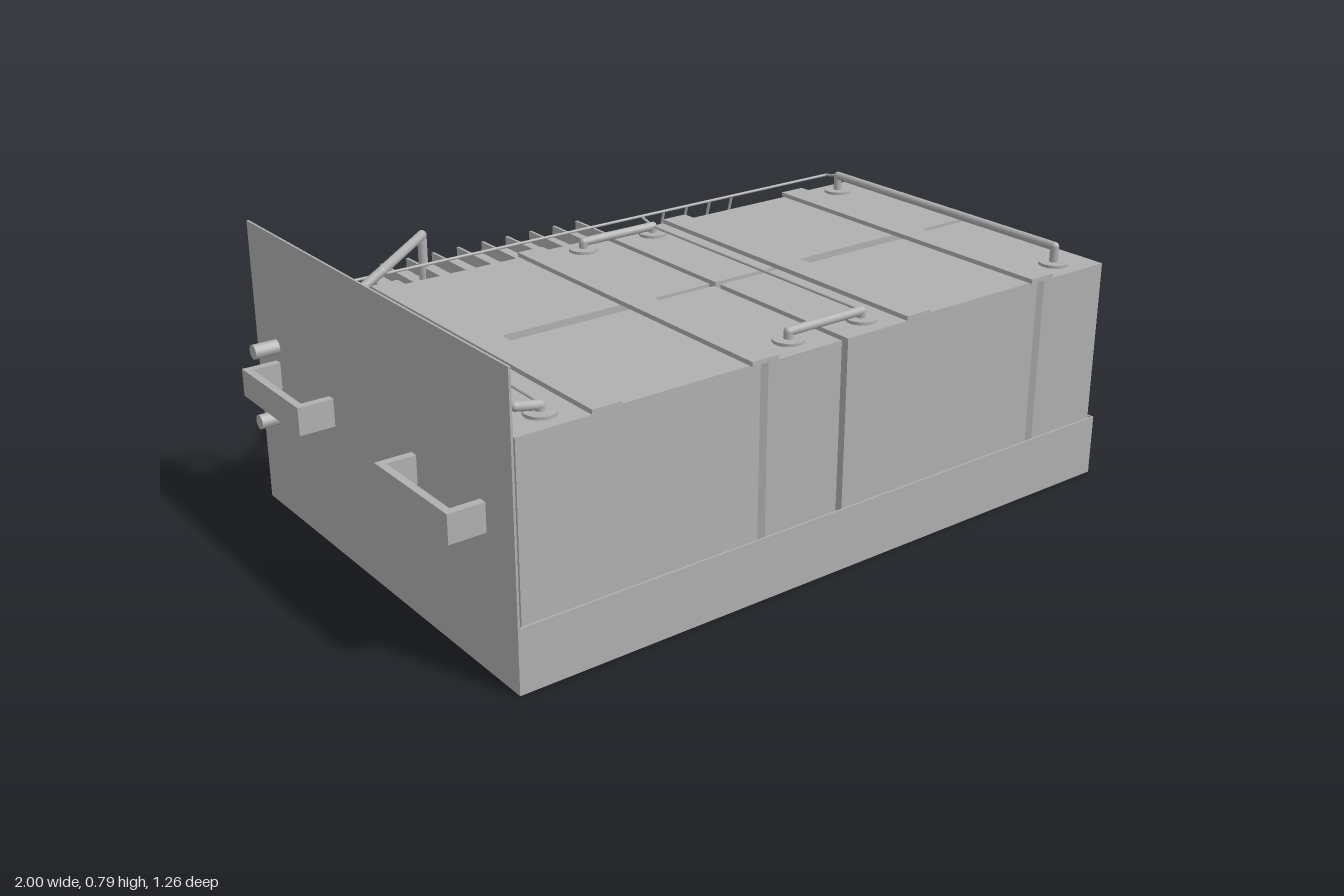
import * as THREE from 'three';

export function createModel() {
  const model = new THREE.Group();
  const metal = new THREE.MeshStandardMaterial({ color: 0xb0b0b0 });
  metal.name = 'grey metal';

  const add = (name, geometry) => {
    const mesh = new THREE.Mesh(geometry, metal);
    mesh.name = name;
    model.add(mesh);
    return mesh;
  };
  // Box given by its lower and upper limits on each axis
  const box = (name, x0, x1, y0, y1, z0, z1) =>
    add(name, new THREE.BoxGeometry(x1 - x0, y1 - y0, z1 - z0))
      .position.set((x0 + x1) / 2, (y0 + y1) / 2, (z0 + z1) / 2);
  // Round pipe through a list of points, with ball joints at the bends
  const pipe = (name, r, points) => {
    const p = points.map((q) => new THREE.Vector3(...q));
    for (let i = 0; i < p.length - 1; i++) {
      const dir = p[i + 1].clone().sub(p[i]);
      const seg = add(name, new THREE.CylinderGeometry(r, r, dir.length(), 14));
      seg.position.copy(p[i]).addScaledVector(dir, 0.5);
      seg.quaternion.setFromUnitVectors(new THREE.Vector3(0, 1, 0), dir.normalize());
      if (i > 0) add(name + 'Joint', new THREE.SphereGeometry(r, 14, 10)).position.copy(p[i]);
    }
  };

  // Open tray with a divider behind the blocks
  box('trayFloor', -0.9, 1, 0, 0.01, -0.63, 0.63);
  for (const [a, b] of [[-0.63, -0.625], [0.625, 0.63], [-0.387, -0.38]])
    box('trayWall', -0.9, 1, 0.01, 0.17, a, b);
  box('trayEnd', 0.995, 1, 0.01, 0.17, -0.63, 0.63);

  // Tall end panel with two pull handles
  box('endPanel', -0.903, -0.897, 0, 0.79, -0.63, 0.63);
  for (const [z0, z1] of [[-0.52, -0.2], [0.19, 0.515]]) {
    box('handleGrip', -1, -0.98, 0.36, 0.435, z0, z1);
    box('handleArm', -0.98, -0.9, 0.36, 0.435, z0, z0 + 0.022);
    box('handleArm', -0.98, -0.9, 0.36, 0.435, z1 - 0.022, z1);
  }

  // Four large blocks, each with a shallow recess on its long faces
  for (const cx of [-0.4275, 0.5175]) {
    for (const cz of [-0.13, 0.38]) {
      const w = 0.4625, d = 0.245, n = 0.01;
      const half = [[-w, d], [-0.233, d], [-0.218, d - n], [0.218, d - n], [0.233, d], [w, d]];
      const outline = [...half, ...half.map(([x, z]) => [-x, -z])];
      const shape = new THREE.Shape(outline.map(([x, z]) => new THREE.Vector2(x, z)));
      const g = new THREE.ExtrudeGeometry(shape, { depth: 0.615, bevelEnabled: false });
      g.rotateX(-Math.PI / 2);
      add('block', g).position.set(cx, 0.01, cz);
    }
    // Straps lying across the block tops
    for (const dx of [-0.225, 0.225])
      box('strap', cx + dx - 0.04, cx + dx + 0.04, 0.625, 0.637, -0.375, 0.625);
  }

  // Flanges and the pipes linking them
  for (const x of [-0.777, -0.07, 0.167, 0.87]) {
    for (const z of [-0.31, 0.55])
      add('flange', new THREE.CylinderGeometry(0.04, 0.04, 0.008, 28)).position.set(x, 0.629, z);
  }
  for (const z of [-0.31, 0.55])
    pipe('shortLinkPipe', 0.012, [[-0.07, 0.625, z], [-0.07, 0.65, z], [0.167, 0.65, z], [0.167, 0.625, z]]);
  pipe('longLinkPipe', 0.012, [[0.87, 0.625, 0.55], [0.87, 0.675, 0.55], [0.87, 0.675, -0.31], [0.87, 0.625, -0.31]]);
  pipe('returnPipe', 0.012, [[-0.777, 0.625, 0.55], [-0.777, 0.645, 0.55], [-0.84, 0.658, 0.55],
    [-0.84, 0.658, -0.48], [-0.755, 0.658, -0.48], [-0.755, 0.19, -0.48]]);
  pipe('supplyPipe', 0.013, [[-0.777, 0.625, -0.31], [-0.777, 0.645, -0.31], [-0.69, 0.695, -0.31],
    [-0.46, 0.695, -0.51], [-0.46, 0.56, -0.51]]);

  // Thin rods and the slanted cables
  pipe('thinRod', 0.004, [[-0.777, 0.65, 0.55], [-0.777, 0.665, -0.365], [0.87, 0.665, -0.365], [0.87, 0.675, -0.31]]);
  pipe('thinRod', 0.004, [[0.167, 0.65, 0.55], [0.167, 0.65, -0.31], [0.167, 0.665, -0.365]]);
  for (const x of [0.25, 0.333, 0.417, 0.5])
    pipe('cable', 0.004, [[x, 0.665, -0.367], [x, 0.14, -0.51]]);

  // Heat exchanger with cooling fins, control board and pump
  box('heatExchanger', -0.58, 0.15, 0.01, 0.57, -0.618, -0.4);
  for (let i = 0; i < 9; i++) {
    const x = -0.537 + i * 0.0805;
    box('coolingFin', x - 0.004, x + 0.004, 0.57, 0.603, -0.605, -0.41);
  }
  box('controlBoard', 0.19, 0.7, 0.01, 0.145, -0.618, -0.4);
  box('pump', -0.88, -0.625, 0.01, 0.195, -0.595, -0.43);
  pipe('pumpOutlet', 0.014, [[-0.63, 0.15, -0.54], [-0.575, 0.15, -0.54]]);

  // Water connections through the end panel
  for (const y of [0.28, 0.477]) {
    pipe('connector', 0.02, [[-0.97, y, -0.51], [-0.89, y, -0.51]]);
    pipe('connectorPipe', 0.012, [[-0.9, y, -0.51], [-0.74, y, -0.487], [-0.575, y, -0.45]]);
  }
  return model;
}
